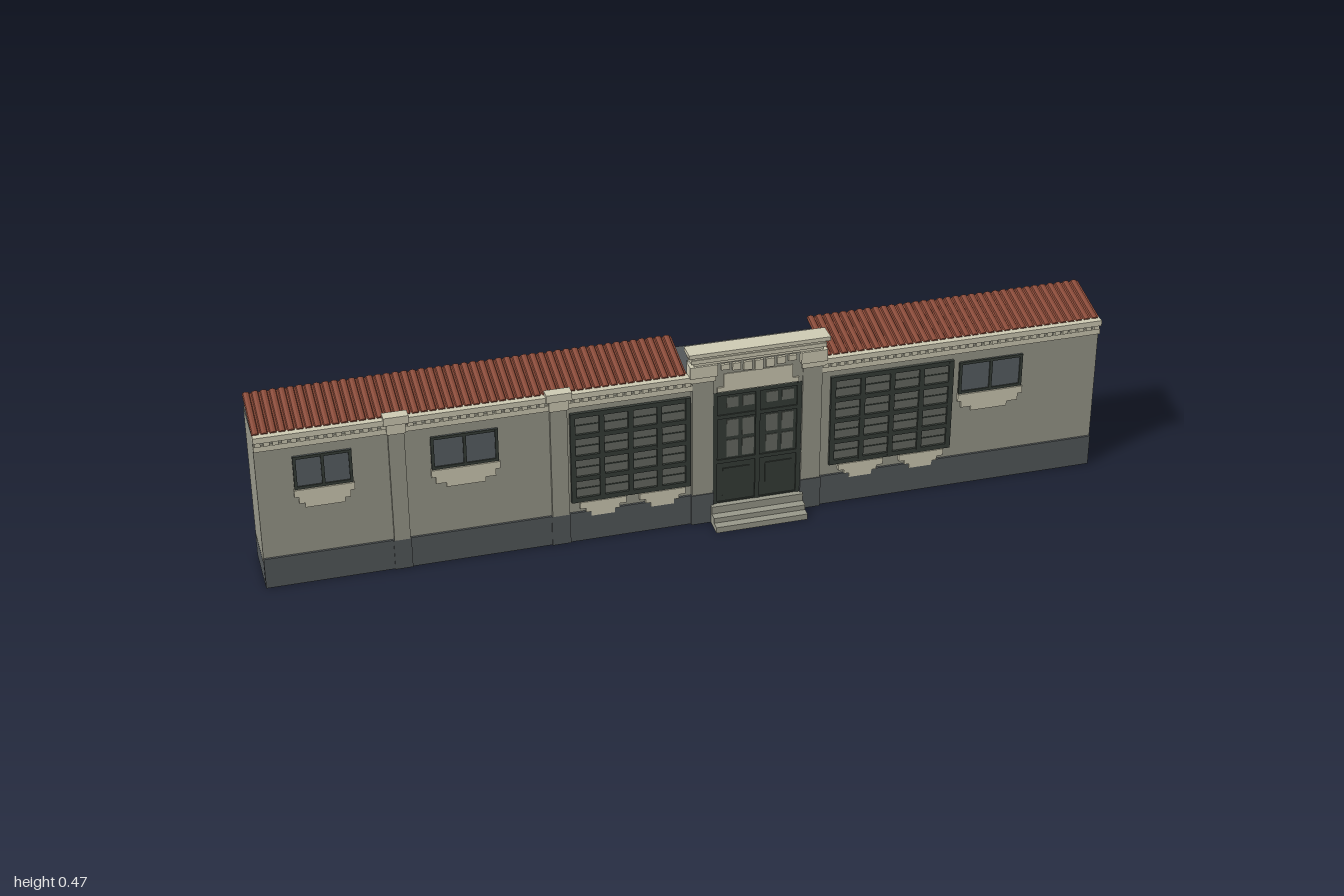
import * as THREE from 'three';

const mat = (name, color) => Object.assign(new THREE.MeshStandardMaterial({ color }), { name });

export function createModel() {
  const M = {
    wall: mat('wall stucco', 0x98988a),
    cream: mat('cream stone', 0xcfcbb4),
    slate: mat('slate grey', 0x53585a),
    tile: mat('roof tile', 0x8a4a38),
    frame: mat('dark green wood', 0x363c37),
    glass: mat('window glass', 0x596064),
    lattice: mat('leaded glass', 0x666a62),
    dark: mat('dark underside', 0x3c4040),
  };
  const root = new THREE.Group();

  // box given by its limits
  const box = (name, m, x0, x1, y0, y1, z0, z1, parent = root) => {
    const mesh = new THREE.Mesh(new THREE.BoxGeometry(x1 - x0, y1 - y0, z1 - z0), m);
    mesh.position.set((x0 + x1) / 2, (y0 + y1) / 2, (z0 + z1) / 2);
    mesh.name = name;
    parent.add(mesh);
    return mesh;
  };
  const group = (name) => {
    const g = new THREE.Group();
    g.name = name;
    root.add(g);
    return g;
  };

  // main block: slate top, dark underside
  box('mainWalls', [M.wall, M.wall, M.slate, M.dark, M.wall, M.wall], -1, 1, 0.004, 0.398, -0.1, 0.04);
  for (const s of [-1, 1]) {
    box('sidePlinth', M.slate, s * 0.9995 - 0.001, s * 0.9995 + 0.001, 0, 0.063, -0.099, 0.04);
  }
  box('frontPlinthLeft', M.slate, 0.265, 1, 0, 0.078, 0.038, 0.045);
  box('frontPlinthRight', M.slate, -1, 0.05, 0, 0.078, 0.038, 0.045);
  // rim around the underside
  box('rimBack', M.slate, -1, 1, 0, 0.004, -0.1, -0.085);
  box('rimFront', M.slate, -1, 1, 0, 0.004, 0.025, 0.04);
  box('rimRight', M.slate, -1, -0.98, 0, 0.004, -0.085, 0.025);
  box('rimLeft', M.slate, 0.98, 1, 0, 0.004, -0.085, 0.025);

  // cornice with a row of dentils
  for (const [x0, x1] of [[-1, 0], [0.31, 1]]) {
    const g = group('cornice');
    box('corniceTop', M.cream, x0, x1, 0.388, 0.402, 0.035, 0.055, g);
    box('corniceBed', M.wall, x0, x1, 0.377, 0.388, 0.038, 0.045, g);
    box('corniceBand', M.cream, x0, x1, 0.363, 0.377, 0.038, 0.049, g);
    const n = Math.round((x1 - x0) / 0.02);
    const step = (x1 - x0) / n;
    for (let i = 0; i < n; i++) {
      const x = x0 + i * step;
      box('dentil', M.cream, x + step * 0.15, x + step * 0.8, 0.377, 0.388, 0.04, 0.052, g);
    }
  }

  // pitched roofs of ridged tiles
  const roof = (x0, x1) => {
    const n = Math.round((x1 - x0) / 0.02);
    const p = (x1 - x0) / n;
    const shape = new THREE.Shape();
    shape.moveTo(x0, -0.002);
    shape.lineTo(x1, -0.002);
    for (let i = n - 1; i >= 0; i--) {
      const x = x0 + i * p;
      for (const [u, h] of [[1, 0.001], [0.82, 0.001], [0.72, 0.0045], [0.41, 0.006], [0.1, 0.0045], [0, 0.001]]) {
        shape.lineTo(x + u * p, h);
      }
    }
    const geo = new THREE.ExtrudeGeometry(shape, { depth: 0.143, bevelEnabled: false });
    const mesh = new THREE.Mesh(geo, M.tile);
    mesh.name = 'tiledRoof';
    mesh.position.set(0, 0.428, -0.1);
    mesh.rotation.x = Math.atan2(0.028, 0.14);
    root.add(mesh);
  };
  roof(-1, -0.01);
  roof(0.32, 1);

  // wall pilasters with stepped capitals
  for (const [x0, x1] of [[-0.702, -0.665], [-0.333, -0.293]]) {
    const g = group('pilaster');
    box('shaft', M.wall, x0, x1, 0.078, 0.37, 0.038, 0.048, g);
    box('pilasterFoot', M.slate, x0 - 0.002, x1 + 0.002, 0, 0.078, 0.038, 0.048, g);
    box('capitalNeck', M.cream, x0 - 0.003, x1 + 0.003, 0.363, 0.39, 0.036, 0.055, g);
    box('capitalTop', M.cream, x0 - 0.01, x1 + 0.01, 0.39, 0.41, 0.034, 0.06, g);
  }

  // small windows with a carved sill
  const smallWindow = (x0, x1) => {
    const g = group('smallWindow');
    const y0 = 0.25, y1 = 0.335, t = 0.007, c = (x0 + x1) / 2;
    box('pane', M.glass, x0, x1, y0, y1, 0.039, 0.0425, g);
    for (const x of [x0, c - t / 2, x1 - t]) box('upright', M.frame, x, x + t, y0, y1, 0.04, 0.046, g);
    for (const y of [y0, y1 - t]) box('rail', M.frame, x0, x1, y, y + t, 0.04, 0.0455, g);
    box('sill', M.cream, x0 - 0.002, x1 + 0.002, 0.232, 0.25, 0.038, 0.049, g);
    box('sillCarving', M.cream, x0 + 0.008, x1 - 0.008, 0.213, 0.232, 0.038, 0.0465, g);
    box('sillDrop', M.cream, c - 0.045, c + 0.045, 0.2, 0.213, 0.038, 0.0445, g);
  };
  smallWindow(-0.917, -0.785);
  smallWindow(-0.607, -0.453);
  smallWindow(0.652, 0.81);

  // large gridded windows on paired brackets
  const largeWindow = (x0, x1) => {
    const g = group('largeWindow');
    const y0 = 0.107, y1 = 0.345, t = 0.012;
    box('panes', M.lattice, x0, x1, y0, y1, 0.039, 0.042, g);
    for (let i = 0; i <= 4; i++) {
      const x = x0 + (x1 - x0 - t) * i / 4;
      box('upright', M.frame, x, x + t, y0, y1, 0.04, 0.048, g);
      const y = y0 + (y1 - y0 - t) * i / 4;
      box('rail', M.frame, x0, x1, y, y + t, 0.04, 0.0475, g);
    }
    // fine glazing bars
    for (let i = 0; i < 4; i++) {
      const y = y0 + t / 2 + (y1 - y0 - t) * (i + 0.5) / 4;
      box('glazingBar', M.frame, x0, x1, y - 0.0015, y + 0.0015, 0.04, 0.0435, g);
    }
    for (const f of [0.26, 0.76]) {
      const c = x0 + (x1 - x0) * f;
      box('bracketTop', M.cream, c - 0.055, c + 0.055, 0.09, 0.107, 0.038, 0.05, g);
      box('bracketMiddle', M.cream, c - 0.04, c + 0.04, 0.078, 0.09, 0.038, 0.048, g);
      box('bracketDrop', M.cream, c - 0.028, c + 0.028, 0.066, 0.078, 0.038, 0.0475, g);
    }
  };
  largeWindow(-0.287, -0.003);
  largeWindow(0.335, 0.637);

  // double door
  const door = group('door');
  box('doorLeaves', M.frame, 0.05, 0.265, 0.04, 0.347, 0.038, 0.043, door);
  for (const x of [0.05, 0.153, 0.253]) box('doorStile', M.frame, x, x + 0.011, 0.04, 0.347, 0.04, 0.047, door);
  for (const y of [0.04, 0.155, 0.275, 0.337]) box('doorRail', M.frame, 0.05, 0.265, y, y + 0.01, 0.04, 0.046, door);
  for (const x of [0.084, 0.122, 0.179, 0.217]) {
    for (const [y, h] of [[0.303, 0.027], [0.225, 0.045], [0.17, 0.045]]) {
      box('doorPane', M.lattice, x, x + 0.028, y, y + h, 0.042, 0.0445, door);
    }
  }
  for (const x of [0.075, 0.178]) box('doorPanel', M.frame, x, x + 0.065, 0.065, 0.14, 0.042, 0.0455, door);

  // entrance steps
  [[0.1, 0, 0.015], [0.08, 0.015, 0.028], [0.06, 0.028, 0.047]].forEach(([z, y0, y1]) =>
    box('entranceStep', M.wall, 0.045, 0.268, y0, y1, 0.038, z));

  // door surround
  for (const [x0, x1] of [[0, 0.05], [0.265, 0.312]]) {
    box('doorPilaster', M.wall, x0, x1, 0.08, 0.41, 0.038, 0.049);
    box('doorPilasterBase', M.slate, x0 - 0.002, x1 + 0.002, 0, 0.08, 0.038, 0.051);
    box('doorCapital', M.cream, x0 - 0.004, x1 + 0.004, 0.385, 0.4, 0.038, 0.055);
    box('doorCapitalTop', M.cream, x0 - 0.008, x1 + 0.008, 0.4, 0.43, 0.03, 0.06);
  }
  box('parapetWall', M.wall, -0.005, 0.318, 0.396, 0.43, 0.02, 0.048);
  box('doorFrieze', M.wall, 0.05, 0.265, 0.347, 0.405, 0.038, 0.046);
  box('lintel', M.cream, 0.06, 0.255, 0.35, 0.362, 0.038, 0.05);
  box('lintelCarving', M.cream, 0.075, 0.24, 0.362, 0.397, 0.038, 0.05);
  // carved swag over the door
  for (let i = 0; i < 7; i++) {
    const x = 0.0775 + i * 0.0267;
    const drop = 0.004 * Math.abs(i - 3);
    box('swag', M.cream, x - 0.01, x + 0.01, 0.398 + drop, 0.424, 0.04, 0.054);
  }

  // stepped parapet cornice
  [[0.43, 0.438, 0.014, 0.055], [0.438, 0.448, 0.007, 0.06], [0.448, 0.456, 0.009, 0.058], [0.456, 0.466, 0, 0.066]]
    .forEach(([y0, y1, inset, z]) =>
      box('parapetCornice', M.cream, -0.012 + inset, 0.324 - inset, y0, y1, 0.02, z));

  return root;
}
